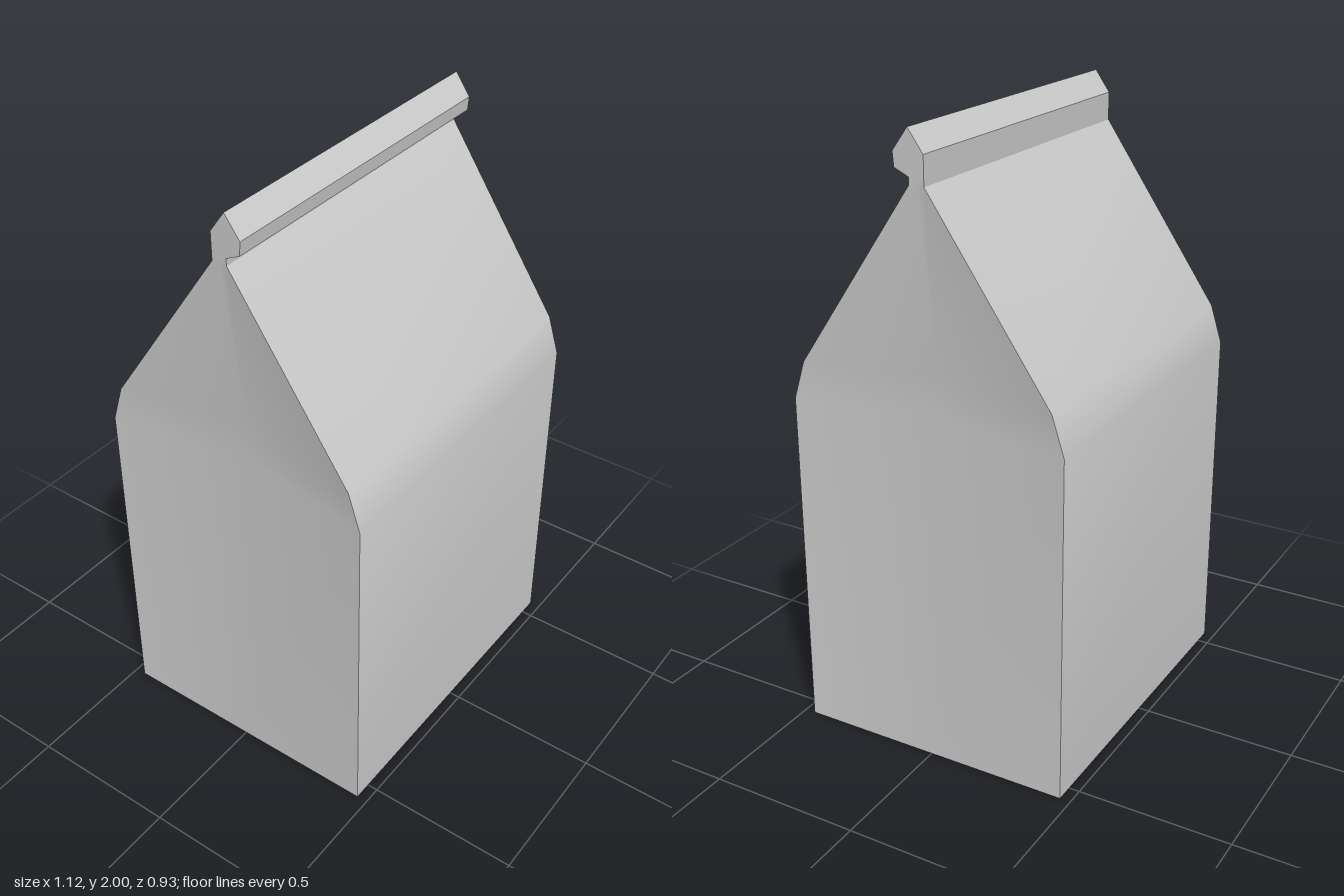
import * as THREE from 'three';
import { toCreasedNormals } from 'three/addons/utils/BufferGeometryUtils.js';

const HALF_WIDTH = 0.56;

// Cross-sections from bottom to top: [y, back z, front z, inward fold of the side middles]
const LEVELS = [
  [0, -0.465, 0.465, 0],
  [1.13, -0.465, 0.465, 0.08], // top of the upright walls
  [1.255, -0.425, 0.425, 0.08], // shoulders
  [1.84, -0.024, 0.026, 0], // neck
  [1.863, -0.024, 0.026, 0],
  [1.885, -0.024, 0.073, 0], // underside of the rolled lip
  [1.93, -0.024, 0.077, 0],
  [2, 0.026, 0.026, 0], // ridge
];

// Six-point ring: four corners plus the middle of each gusseted side
function ring([y, back, front, fold]) {
  const middle = (back + front) / 2;
  const w = HALF_WIDTH;
  return [
    [-w, y, front], [w, y, front], [w - fold, y, middle],
    [w, y, back], [-w, y, back], [fold - w, y, middle],
  ];
}

function loft(rings) {
  const positions = [];
  const triangle = (a, b, c) => positions.push(...a, ...b, ...c);
  const count = rings[0].length;

  // Walls between neighbouring rings
  for (let i = 0; i < rings.length - 1; i++) {
    const [low, high] = [rings[i], rings[i + 1]];
    for (let j = 0; j < count; j++) {
      const k = (j + 1) % count;
      triangle(low[j], low[k], high[k]);
      triangle(low[j], high[k], high[j]);
    }
  }

  // Flat bottom
  for (let j = 1; j < count - 1; j++) triangle(rings[0][0], rings[0][j + 1], rings[0][j]);

  const geometry = new THREE.BufferGeometry();
  geometry.setAttribute('position', new THREE.Float32BufferAttribute(positions, 3));
  geometry.computeVertexNormals();
  return toCreasedNormals(geometry, 0.5);
}

export function createModel() {
  const group = new THREE.Group();
  group.name = 'paperBag';
  const material = new THREE.MeshStandardMaterial({ color: 0xcccccc });

  // Gusseted bag closing to a rolled-over top
  const bag = new THREE.Mesh(loft(LEVELS.map(ring)), material);
  bag.name = 'foldedBag';
  group.add(bag);

  return group;
}
